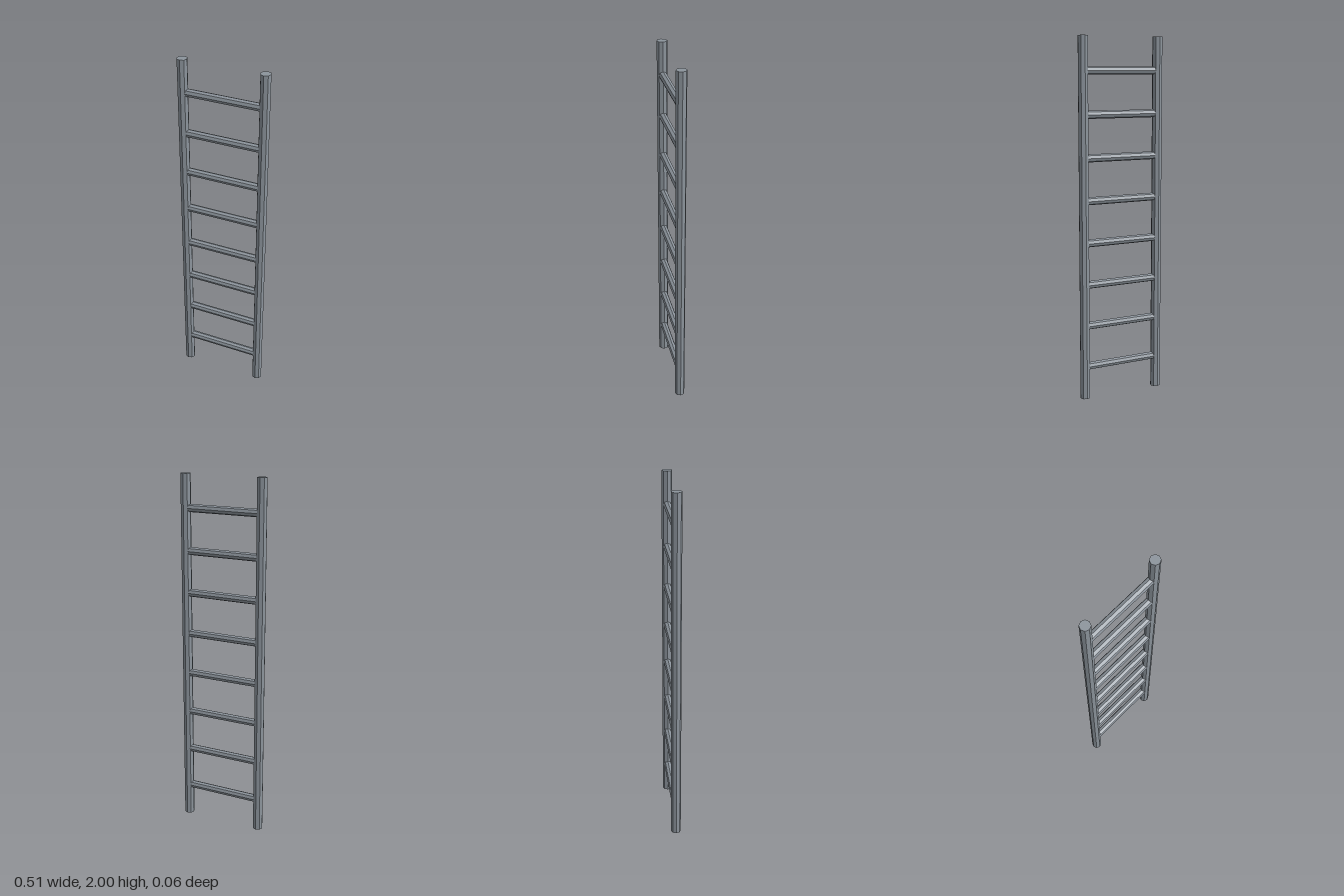
import * as THREE from 'three';

export function createModel() {
  const steel = new THREE.MeshStandardMaterial({ color: 0x8c949c, flatShading: true });
  steel.name = 'greySteel';
  const ladder = new THREE.Group();
  ladder.name = 'ladder';

  const railX = 0.225;
  const railGeometry = new THREE.CylinderGeometry(0.0285, 0.0285, 2, 8);
  const rungGeometry = new THREE.CylinderGeometry(0.022, 0.022, railX * 2, 8).rotateZ(Math.PI / 2);

  // Upright side rails
  for (const side of [-1, 1]) {
    const rail = new THREE.Mesh(railGeometry, steel);
    rail.name = side > 0 ? 'leftRail' : 'rightRail';
    rail.position.set(side * railX, 1, 0);
    ladder.add(rail);
  }

  // Evenly spaced rungs, ending inside the rails
  for (let i = 0; i < 8; i++) {
    const rung = new THREE.Mesh(rungGeometry, steel);
    rung.name = `rung${i + 1}`;
    rung.position.y = 0.1833 + i * 0.2333;
    ladder.add(rung);
  }
  return ladder;
}
